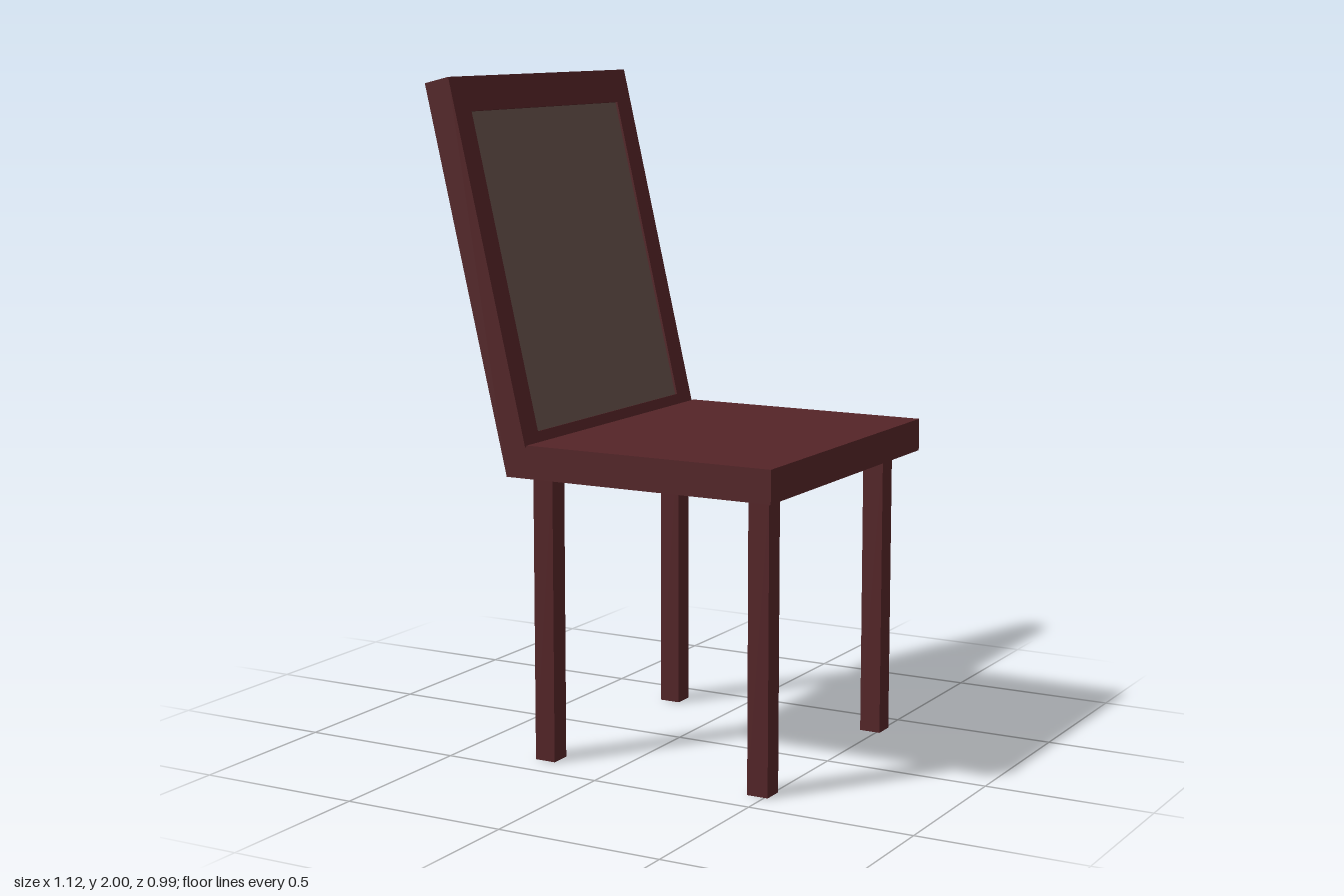
import * as THREE from 'three';

export function createModel() {
  const chair = new THREE.Group();
  chair.name = 'chair';
  const wood = new THREE.MeshStandardMaterial({ color: 0x542427 });
  const fabric = new THREE.MeshStandardMaterial({ color: 0x65504a });

  const add = (parent, name, geometry, material, x = 0, y = 0, z = 0) => {
    const mesh = new THREE.Mesh(geometry, material);
    mesh.name = name;
    mesh.position.set(x, y, z);
    parent.add(mesh);
    return mesh;
  };
  const outline = (points) => new THREE.Shape(points.map(([x, y]) => new THREE.Vector2(x, y)));

  // Seat slab, mitred where it meets the backrest
  const seatShape = outline([[-0.295, 0.86], [0.56, 0.86], [0.56, 0.957], [-0.225, 0.957]]);
  const seatGeometry = new THREE.ExtrudeGeometry(seatShape, { depth: 0.986, bevelEnabled: false });
  add(chair, 'seat', seatGeometry, wood, 0, 0, -0.493);

  // Four square legs
  const legGeometry = new THREE.BoxGeometry(0.065, 0.87, 0.065);
  for (const [x, end] of [[-0.227, 'back'], [0.478, 'front']]) {
    for (const side of [-1, 1]) {
      add(chair, `${end}${side > 0 ? 'Left' : 'Right'}Leg`, legGeometry, wood, x, 0.435, side * 0.373);
    }
  }

  // Leaning backrest; its local y runs up along the rear face, x through the thickness
  const backrest = new THREE.Group();
  backrest.name = 'backrest';
  backrest.position.set(-0.295, 0.86, 0);
  backrest.rotation.z = 0.232;
  chair.add(backrest);

  // Frame with a rectangular opening
  const thickness = 0.083;
  const frameShape = outline([[-0.492, 0], [0.492, 0], [0.492, 1.151], [-0.492, 1.151]]);
  frameShape.holes.push(outline([[-0.41, 0.109], [-0.41, 1.049], [0.41, 1.049], [0.41, 0.109]]));
  const frameGeometry = new THREE.ExtrudeGeometry(frameShape, { depth: thickness, bevelEnabled: false });
  frameGeometry.rotateY(Math.PI / 2);
  add(backrest, 'backrestFrame', frameGeometry, wood);

  // Shallowly recessed infill: wooden rear, upholstered front
  add(backrest, 'backPanel', new THREE.BoxGeometry(0.04, 0.94, 0.82), wood, 0.03, 0.579, 0);
  add(backrest, 'backCushion', new THREE.BoxGeometry(0.026, 0.94, 0.82), fabric, 0.063, 0.579, 0);

  return chair;
}
